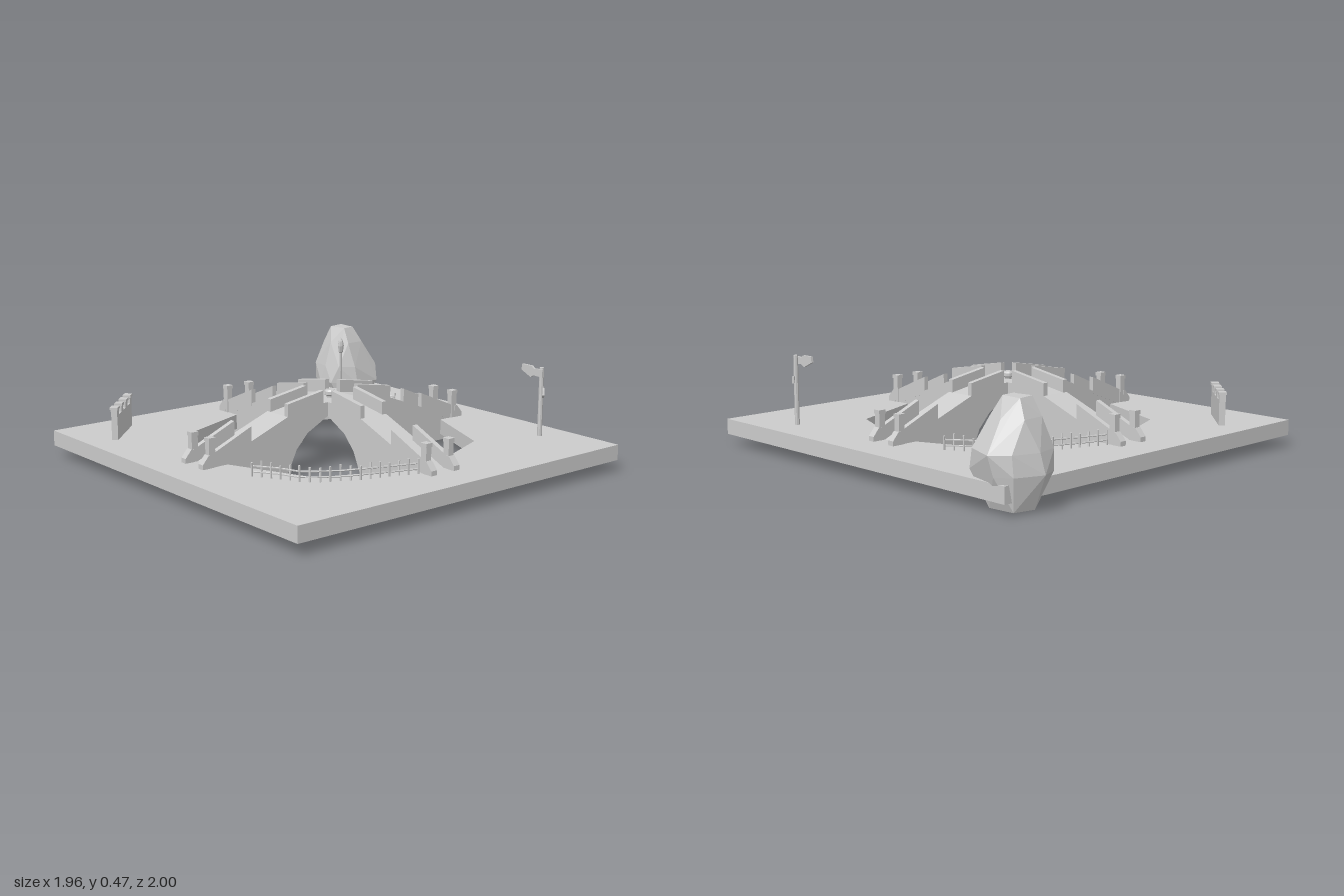
import * as THREE from 'three';
import { ConvexGeometry } from 'three/addons/geometries/ConvexGeometry.js';

const mat = new THREE.MeshStandardMaterial({ color: 0xcccccc, flatShading: true });
const CX = -0.025, CZ = 0.033;

function add(parent, name, geo, x = 0, y = 0, z = 0) {
  const m = new THREE.Mesh(geo, mat);
  m.name = name;
  m.position.set(x, y, z);
  parent.add(m);
  return m;
}

function group(parent, name, x = 0, y = 0, z = 0, ry = 0) {
  const g = new THREE.Group();
  g.name = name;
  g.position.set(x, y, z);
  g.rotation.y = ry;
  parent.add(g);
  return g;
}

const shapeOf = pts => new THREE.Shape(pts.map(p => new THREE.Vector2(...p)));

// Side profile extruded across z, centred on z
function plate(pts, width) {
  const g = new THREE.ExtrudeGeometry(shapeOf(pts), { depth: width, bevelEnabled: false });
  return g.translate(0, 0, -width / 2);
}

// Thin bar between two points
function bar(parent, name, a, b, r, sides = 5) {
  const dir = b.clone().sub(a);
  const m = add(parent, name, new THREE.CylinderGeometry(r, r, dir.length(), sides));
  m.position.copy(a).add(b).multiplyScalar(0.5);
  m.quaternion.setFromUnitVectors(new THREE.Vector3(0, 1, 0), dir.normalize());
  return m;
}

// Square ground slab with an octagonal opening
function buildGround(root) {
  const s = shapeOf([[-0.985, -0.93], [0.94, -0.93], [0.94, 1], [-0.985, 1]]);
  const hole = [];
  for (let i = 0; i < 8; i++) {
    const a = -i * Math.PI / 4;
    hole.push(new THREE.Vector2(CX + 0.69 * Math.cos(a), CZ + 0.69 * Math.sin(a)));
  }
  s.holes.push(new THREE.Path(hole));
  const g = new THREE.ExtrudeGeometry(s, { depth: 0.075, bevelEnabled: false });
  add(root, 'groundSlab', g.rotateX(Math.PI / 2), 0, 0.13, 0);
}

// Two arched bridges crossing in the middle
function buildBridges(root) {
  const bridges = group(root, 'crossedBridges', CX, 0, CZ);
  const half = [[0.105, 0.33], [0.315, 0.295], [0.525, 0.215], [0.73, 0.13], [0.73, 0.025],
    [0.315, 0.025], [0.265, 0.13], [0.2, 0.2], [0.08, 0.262]];
  const profile = [...half, ...half.map(([d, y]) => [-d, y]).reverse()];
  for (const turn of [0, Math.PI / 2])
    add(bridges, 'bridgeArch', plate(profile, 0.155)).rotation.y = turn;

  for (let i = 0; i < 4; i++) {
    const arm = group(bridges, 'bridgeArm', 0, 0, 0, i * Math.PI / 2);
    for (const s of [-1, 1]) {
      // Parapets, with a gap between the inner and outer lengths
      add(arm, 'innerParapet', plate([[0.105, 0.32], [0.315, 0.28], [0.315, 0.355], [0.105, 0.39]], 0.025), 0, 0, s * 0.066);
      add(arm, 'outerParapet', plate([[0.525, 0.2], [0.735, 0.12], [0.735, 0.195], [0.525, 0.285]], 0.025), 0, 0, s * 0.066);
      // End post with cap and sloped foot
      add(arm, 'endPost', new THREE.BoxGeometry(0.033, 0.14, 0.03), 0.745, 0.19, s * 0.068);
      add(arm, 'postCap', new THREE.BoxGeometry(0.038, 0.018, 0.036), 0.745, 0.26, s * 0.068);
      add(arm, 'postFoot', plate([[0.75, 0.12], [0.798, 0.12], [0.798, 0.152], [0.765, 0.19], [0.75, 0.19]], 0.034), 0, 0, s * 0.068);
    }
  }
  // Round knob on the crossing
  const knob = [[0, 0.325], [0.016, 0.325], [0.018, 0.338], [0.027, 0.345], [0.027, 0.36], [0.021, 0.368], [0, 0.368]];
  add(bridges, 'centreKnob', new THREE.LatheGeometry(knob.map(p => new THREE.Vector2(...p)), 12));
}

// Rustic fences on two opposite rims of the opening
function buildFences(root) {
  const line = [[0.1, -0.73], [0.215, -0.683], [0.335, -0.648], [0.425, -0.603], [0.525, -0.553],
    [0.58, -0.493], [0.625, -0.403], [0.685, -0.298]].map(([x, z]) => new THREE.Vector3(x, 0, z));
  const path = new THREE.CurvePath();
  for (let i = 1; i < line.length; i++) path.add(new THREE.LineCurve3(line[i - 1], line[i]));
  const lift = (p, y, dx = 0, dz = 0) => new THREE.Vector3(p.x + dx, y, p.z + dz);
  for (const turn of [0, Math.PI]) {
    const fence = group(root, 'fence', CX, 0, CZ, turn);
    for (let i = 1; i < line.length; i++)
      for (const y of [0.15, 0.176])
        bar(fence, 'fenceRail', lift(line[i - 1], y + 0.003 * (i % 2)), lift(line[i], y + 0.003 * ((i + 1) % 2)), 0.004);
    const n = 17;
    for (let i = 0; i <= n; i++) {
      const p = path.getPoint(i / n);
      const lean = 0.007 * Math.sin(i * 2.3);
      bar(fence, 'fenceStake', lift(p, 0.12), lift(p, 0.198 + 0.006 * Math.sin(i * 1.7), lean, -lean), 0.005);
    }
  }
}

// Short battlemented wall standing diagonally
function buildWall(root) {
  const wall = group(root, 'battlementWall', -0.745, 0, -0.685, Math.PI / 4);
  add(wall, 'wallBody', new THREE.BoxGeometry(0.29, 0.125, 0.03), 0, 0.1875, 0);
  for (let i = 0; i < 4; i++) {
    const x = -0.132 + i * 0.088;
    add(wall, 'merlon', new THREE.BoxGeometry(0.038, 0.04, 0.03), x, 0.265, 0);
    add(wall, 'merlonCap', new THREE.BoxGeometry(0.046, 0.012, 0.038), x, 0.284, 0);
  }
}

// Faceted boulder overhanging the back corner
function buildBoulder(root) {
  const rings = [
    [0.012, [[0.73, -0.76], [0.72, -0.88], [0.79, -0.95], [0.89, -0.93], [0.9, -0.8], [0.82, -0.73]]],
    [0.16, [[0.66, -0.79], [0.65, -0.87], [0.69, -0.96], [0.78, -1.0], [0.91, -0.95], [0.955, -0.88], [0.91, -0.695], [0.77, -0.695]]],
    [0.25, [[0.66, -0.84], [0.68, -0.95], [0.79, -0.98], [0.91, -0.94], [0.978, -0.87], [0.92, -0.72], [0.76, -0.705], [0.69, -0.76]]],
    [0.38, [[0.69, -0.83], [0.72, -0.92], [0.83, -0.93], [0.885, -0.85], [0.84, -0.745], [0.74, -0.74]]],
    [0.46, [[0.725, -0.87], [0.81, -0.885], [0.805, -0.78], [0.74, -0.775]]],
  ];
  const pts = rings.flatMap(([y, r]) => r.map(([x, z]) => new THREE.Vector3(x, y, z)));
  add(root, 'boulder', new ConvexGeometry(pts));
}

// Leaning stake with a leaf-shaped head
function buildTorch(root) {
  const torch = group(root, 'leaningStake', 0.658, 0.12, -0.708);
  const pts = [[0, 0], [0.007, 0], [0.008, 0.23], [0.012, 0.235], [0.017, 0.27], [0.012, 0.295], [0, 0.318]];
  add(torch, 'stake', new THREE.LatheGeometry(pts.map(p => new THREE.Vector2(...p)), 7));
  torch.rotation.set(0.08, 0, 0.06);
}

// Signpost with two pointed boards
function buildSignpost(root) {
  const sign = group(root, 'signpost', 0.782, 0, 0.645);
  add(sign, 'pole', new THREE.CylinderGeometry(0.011, 0.012, 0.465, 8), 0, 0.2325, 0);
  const board = [[-0.02, -0.018], [0.035, -0.014], [0.055, -0.026], [0.115, 0.002], [0.11, 0.03], [0.05, 0.03], [0.035, 0.018], [-0.02, 0.022]];
  const upper = add(sign, 'upperBoard', plate(board, 0.012), -0.012, 0.438, 0);
  upper.rotation.y = Math.PI / 2;
  const lower = add(sign, 'lowerBoard', plate(board, 0.01), 0.012, 0.348, 0.002);
  lower.rotation.y = -Math.PI * 0.76;
  lower.scale.set(0.9, 0.85, 1);
}

export function createModel() {
  const root = new THREE.Group();
  root.name = 'bridgeCrossing';
  buildGround(root);
  buildBridges(root);
  buildFences(root);
  buildWall(root);
  buildBoulder(root);
  buildTorch(root);
  buildSignpost(root);
  return root;
}
